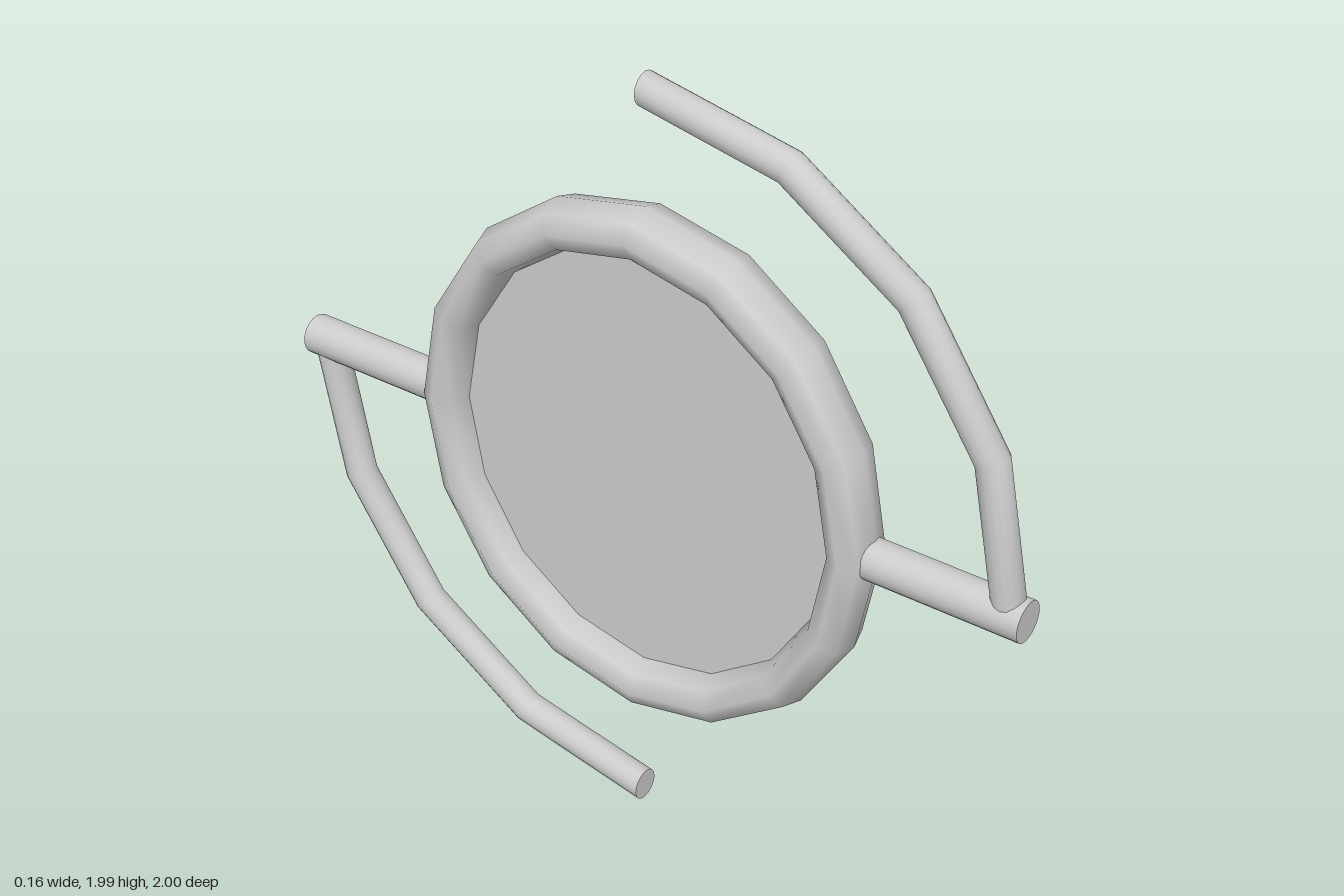
import * as THREE from 'three';

export function createModel() {
  const model = new THREE.Group();
  const grey = new THREE.MeshStandardMaterial({ color: 0xcccccc });
  const body = new THREE.Group();
  body.name = 'body';
  body.position.y = 1;
  model.add(body);

  const add = (name, geometry, parent) => {
    const mesh = new THREE.Mesh(geometry, grey);
    mesh.name = name;
    parent.add(mesh);
    return mesh;
  };

  const stretch = 1.077; // the ring is slightly taller than it is deep

  // Chunky ring standing in the YZ plane, wider across than its radial depth
  const ring = new THREE.TorusGeometry(0.5705, 0.0575, 8, 16);
  ring.scale(1, stretch, 0.08 / 0.0575);
  ring.rotateY(-Math.PI / 2);
  add('ring', ring, body);

  // Thin plate filling the ring
  const plate = new THREE.CylinderGeometry(0.55, 0.55, 0.01, 32);
  plate.rotateZ(Math.PI / 2);
  plate.scale(1, stretch, 1);
  add('plate', plate, body);

  // An axle stub and a quarter-circle arm, repeated half a turn round
  const arcRadius = 0.957, tube = 0.04;
  ['front', 'back'].forEach((side, i) => {
    const half = new THREE.Group();
    half.name = side + 'Handle';
    half.rotation.x = i * Math.PI;
    body.add(half);

    const axle = new THREE.CylinderGeometry(0.05, 0.05, 0.42, 20);
    axle.rotateX(Math.PI / 2);
    axle.translate(0, 0, 0.79);
    add(side + 'Axle', axle, half);

    const arm = new THREE.TorusGeometry(arcRadius, tube, 16, 4, Math.PI / 2);
    arm.rotateY(-Math.PI / 2);
    add(side + 'Arm', arm, half);

    // Flat cap on the free end of the arm
    const cap = new THREE.CircleGeometry(tube, 16);
    cap.rotateY(Math.PI);
    cap.translate(0, arcRadius, 0);
    add(side + 'ArmCap', cap, half);
  });

  return model;
}
